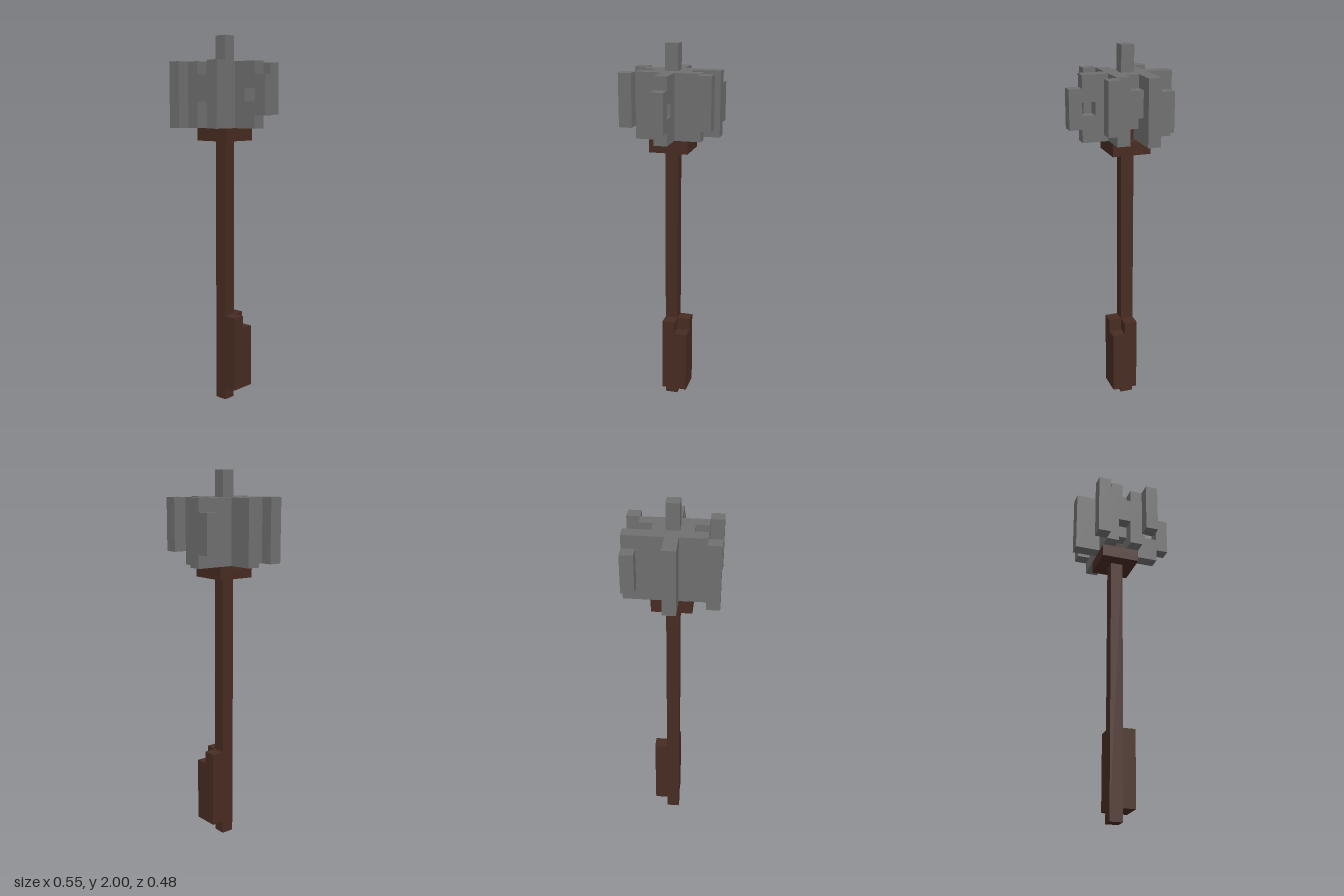
import * as THREE from 'three';

// One grid cell; the model is 29 cells tall, 8 wide and 7 deep.
const U = 2 / 29;

export function createModel() {
  const model = new THREE.Group();
  model.name = 'mace';

  const stone = new THREE.MeshStandardMaterial({ color: 0x707071 });
  stone.name = 'grey stone';
  const wood = new THREE.MeshStandardMaterial({ color: 0x482c22 });
  wood.name = 'dark wood';

  // Box covering the cells from (x0, y0, z0) up to but not including (x1, y1, z1).
  function block(parent, name, material, [x0, y0, z0], [x1, y1, z1]) {
    const geometry = new THREE.BoxGeometry((x1 - x0) * U, (y1 - y0) * U, (z1 - z0) * U);
    const mesh = new THREE.Mesh(geometry, material);
    mesh.position.set(((x0 + x1) / 2 - 4) * U, ((y0 + y1) / 2) * U, ((z0 + z1) / 2 - 3.5) * U);
    mesh.name = name;
    parent.add(mesh);
  }

  // Handle: shaft, stepped grip and collar
  const handle = new THREE.Group();
  handle.name = 'handle';
  model.add(handle);
  block(handle, 'shaft', wood, [3, 0, 3], [4, 23, 4]);
  block(handle, 'gripSide', wood, [4, 1, 3], [5, 7, 4]);
  block(handle, 'gripCorner', wood, [4, 1, 2], [5, 6, 3]);
  block(handle, 'gripBack', wood, [3, 1, 2], [4, 7, 3]);
  block(handle, 'collar', wood, [2, 21, 2], [5, 22, 5]);

  // Head: two solid cheeks joined by a core that is notched front and back
  const head = new THREE.Group();
  head.name = 'head';
  model.add(head);
  block(head, 'rightCheek', stone, [2, 22, 1], [3, 27, 6]);
  block(head, 'leftCheek', stone, [4, 22, 1], [5, 27, 6]);
  block(head, 'core', stone, [3, 23, 2], [4, 27, 5]);
  block(head, 'frontBridge', stone, [3, 24, 5], [4, 26, 6]);
  block(head, 'backBridge', stone, [3, 24, 1], [4, 26, 2]);
  block(head, 'topSpike', stone, [3, 27, 3], [4, 29, 4]);

  // Side flanges, the left one pierced by a square hole
  block(head, 'rightFlange', stone, [0, 22, 3], [2, 27, 4]);
  block(head, 'leftFlange', stone, [5, 22, 3], [6, 27, 4]);
  block(head, 'flangeBelowHole', stone, [6, 22, 3], [7, 24, 4]);
  block(head, 'flangeAboveHole', stone, [6, 25, 3], [7, 27, 4]);
  block(head, 'flangeTip', stone, [7, 23, 3], [8, 26, 4]);

  // Corner studs
  block(head, 'frontRightStud', stone, [1, 22, 6], [2, 27, 7]);
  block(head, 'frontLeftStud', stone, [5, 23, 6], [6, 27, 7]);
  block(head, 'backLeftStud', stone, [5, 23, 0], [6, 27, 1]);
  block(head, 'backRightRib', stone, [2, 22, 0], [3, 27, 1]);
  block(head, 'backRightStud', stone, [1, 23, 0], [2, 26, 1]);

  return model;
}
